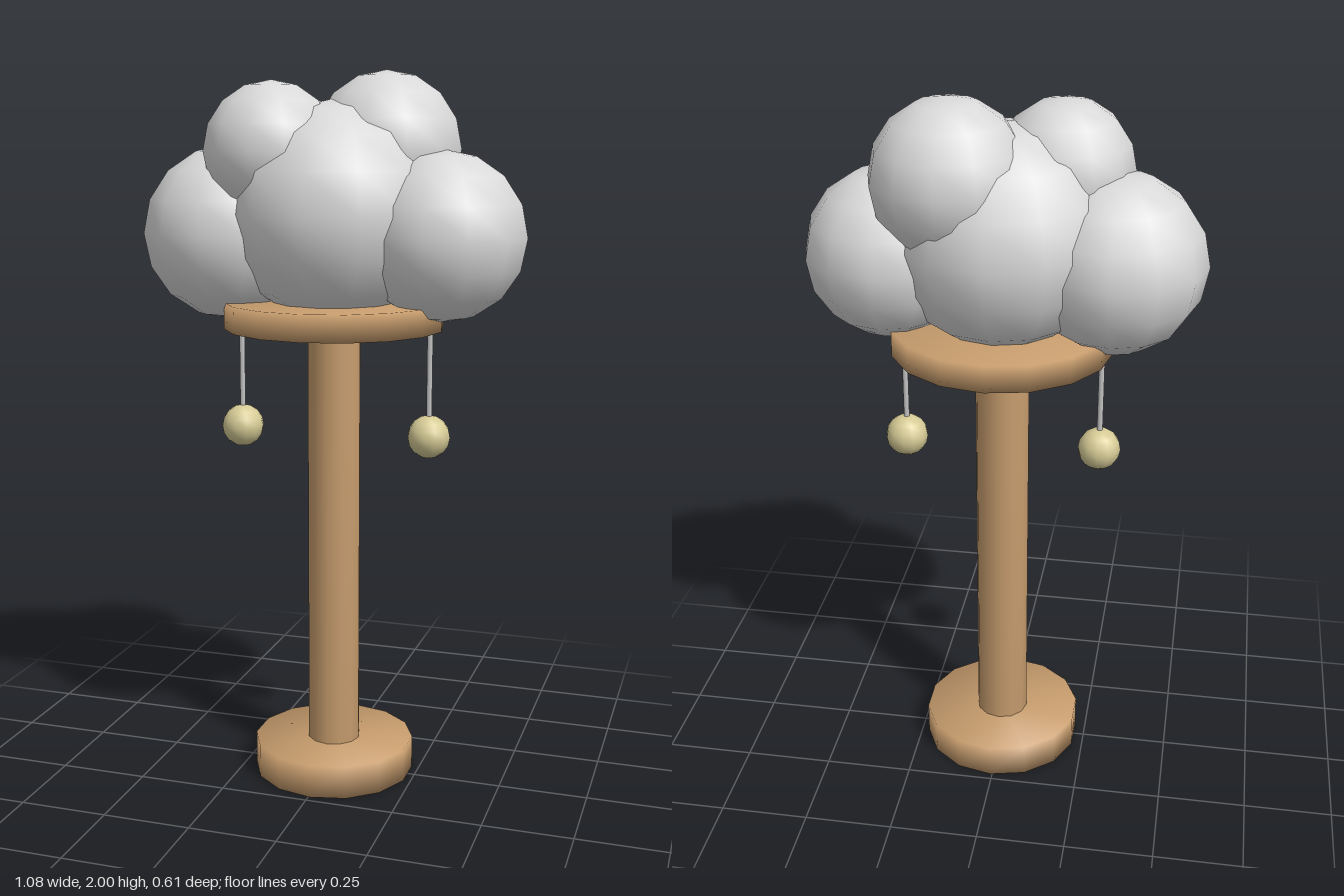
import * as THREE from 'three';
import { mergeVertices } from 'three/addons/utils/BufferGeometryUtils.js';

const material = (name, color) => {
  const m = new THREE.MeshStandardMaterial({ color });
  m.name = name;
  return m;
};

// Cylinder with normals averaged across its rims, for a soft carved look
function softCylinder(radius, height, sides) {
  const g = new THREE.CylinderGeometry(radius, radius, height, sides);
  g.deleteAttribute('normal');
  g.deleteAttribute('uv');
  const merged = mergeVertices(g, 1e-4);
  merged.computeVertexNormals();
  return merged;
}

export function createModel() {
  const model = new THREE.Group();
  model.name = 'cloudTree';
  const wood = material('wood', 0xc69c6d);
  const cloud = material('cloudGrey', 0xd9d9d9);
  const cord = material('cordGrey', 0xc4c4c4);
  const cream = material('cream', 0xd6cb96);
  const cx = 0.005; // axis of the post

  const add = (name, geometry, mat, x, y, z) => {
    const mesh = new THREE.Mesh(geometry, mat);
    mesh.name = name;
    mesh.position.set(x, y, z);
    model.add(mesh);
  };

  // Wooden stand: [name, radius, bottom, top, sides]
  [
    ['base', 0.23, 0, 0.095, 14],
    ['post', 0.075, 0.05, 1.34, 12],
    ['platform', 0.305, 1.302, 1.376, 16],
  ].forEach(([name, r, y0, y1, sides]) =>
    add(name, softCylinder(r, y1 - y0, sides), wood, cx, (y0 + y1) / 2, 0));

  // Overlapping puffs of the cloud: [name, radius, x, y, z]
  [
    ['centrePuff', 0.303, cx, 1.62, 0],
    ['rightPuff', 0.242, -0.3, 1.56, 0],
    ['leftPuff', 0.23, 0.31, 1.56, 0],
    ['upperFrontPuff', 0.187, -0.15, 1.785, 0.07],
    ['upperBackPuff', 0.21, 0.13, 1.79, -0.08],
  ].forEach(([name, r, x, y, z]) =>
    add(name, new THREE.SphereGeometry(r, 12, 8), cloud, x, y, z));

  // Hanging balls on cords, one each side
  for (const side of [-1, 1]) {
    const x = cx + side * 0.274;
    const label = side > 0 ? 'left' : 'right';
    add(label + 'Cord', new THREE.CylinderGeometry(0.008, 0.008, 0.28, 8), cord, x, 1.18, 0);
    add(label + 'Ball', new THREE.SphereGeometry(0.06, 12, 8), cream, x, 1.01, 0);
  }
  return model;
}
